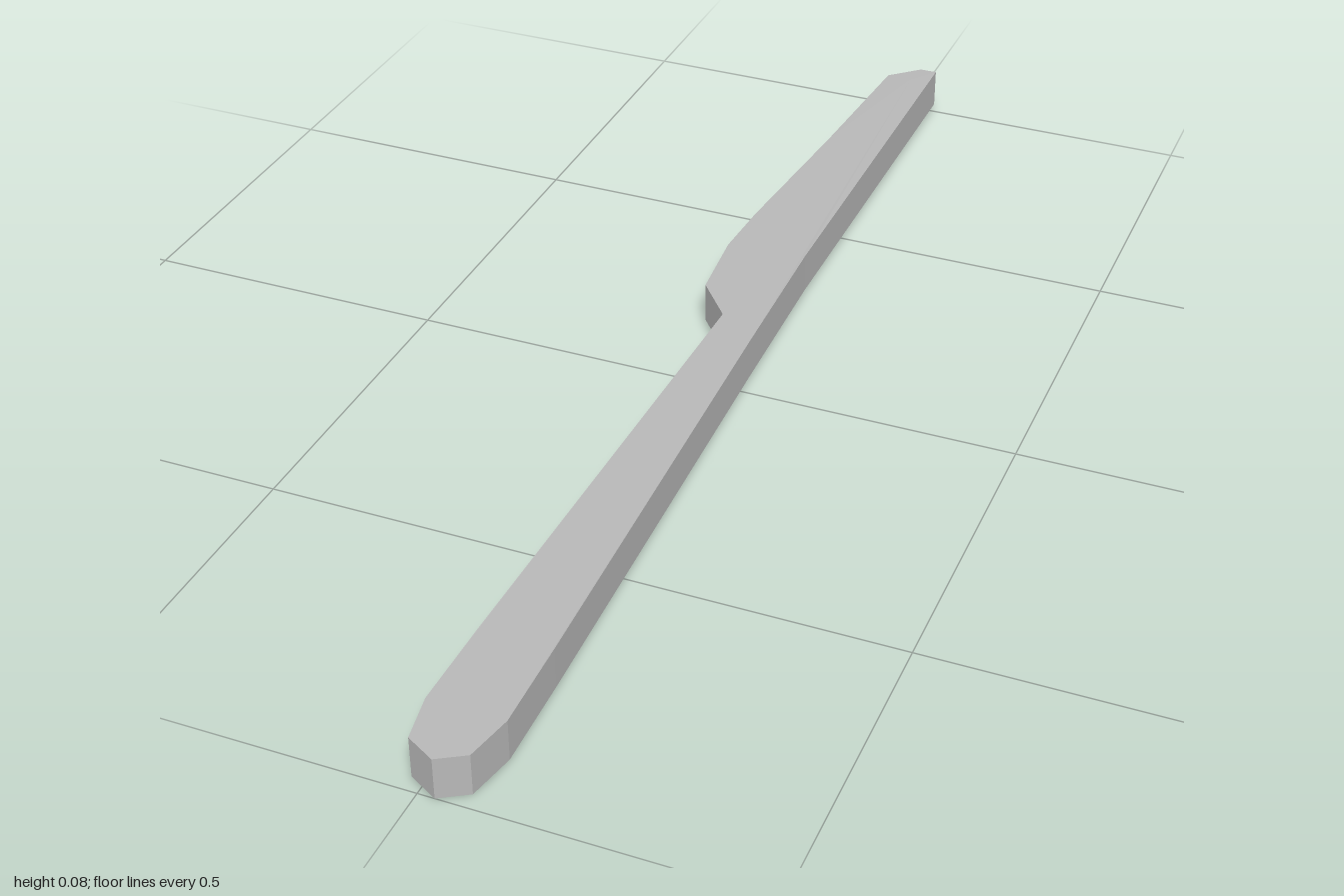
import * as THREE from 'three';

const THICKNESS = 0.067;

// Gentle rise of the knife from the handle end to the tip
const lift = (z) => 0.01375 * (1 - z) - 0.0031 * (1 - z) ** 2;

// Flat plate from an outline of [x, z] points, following the rise
function plate(outline, bottom, height) {
  const shape = new THREE.Shape(outline.map(([x, z]) => new THREE.Vector2(x, -z)));
  const geometry = new THREE.ExtrudeGeometry(shape, { depth: height, bevelEnabled: false });
  geometry.rotateX(-Math.PI / 2);
  const p = geometry.attributes.position;
  for (let i = 0; i < p.count; i++) p.setY(i, p.getY(i) + bottom + lift(p.getZ(i)));
  geometry.computeVertexNormals();
  return geometry;
}

export function createModel() {
  const model = new THREE.Group();
  model.name = 'knife';
  const grey = new THREE.MeshStandardMaterial({ color: 0xb8b8b8 });
  grey.name = 'grey';

  const add = (name, geometry) => {
    const mesh = new THREE.Mesh(geometry, grey);
    mesh.name = name;
    model.add(mesh);
  };

  const spineTip = [0.048, -1];
  const edgeTip = [-0.03, -0.955];
  const notch = [0.014, -0.955];

  // Handle and blade in one piece, ending at the notch in the tip
  add('handleAndBlade', plate([
    spineTip, notch, edgeTip,
    [-0.05, -0.685], [-0.077, -0.395], [-0.083, -0.285], [-0.071, -0.155], [-0.013, -0.085],
    [-0.033, 0.75], [-0.035, 0.9], [-0.021, 0.975], [0.025, 1], [0.067, 0.975], [0.083, 0.9],
    [0.08, 0.75], [0.055, -0.03], [0.048, -0.3],
  ], 0, THICKNESS));

  // Two thin lips above and below the slot in the tip
  const lip = [spineTip, [0.019, -1], edgeTip, notch];
  const lipHeight = THICKNESS * 0.36;
  add('lowerTipLip', plate(lip, 0, lipHeight));
  add('upperTipLip', plate(lip, THICKNESS - lipHeight, lipHeight));

  return model;
}
